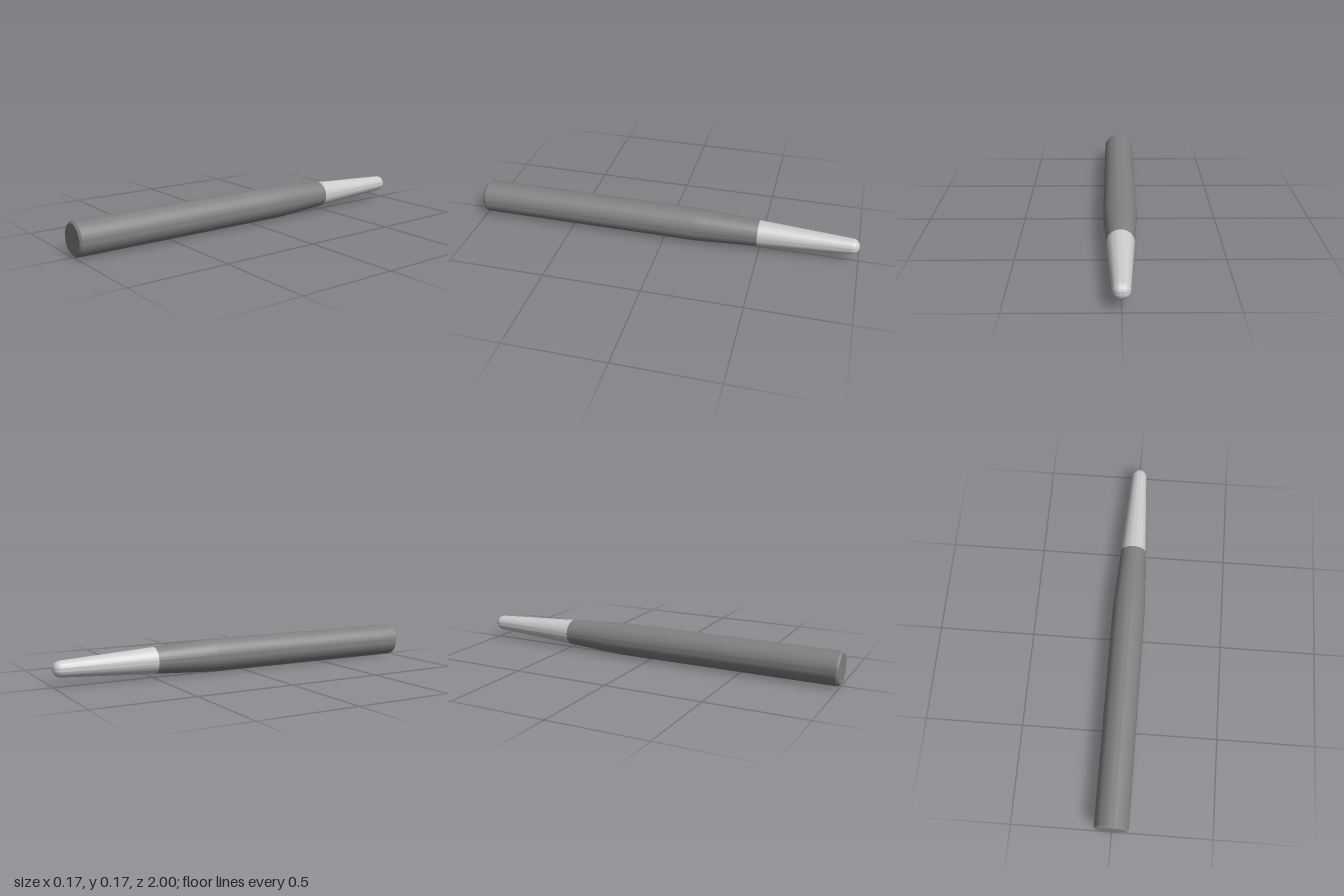
import * as THREE from 'three';
import { toCreasedNormals } from 'three/addons/utils/BufferGeometryUtils.js';

const R = 0.085;          // shaft radius
const TIP_R = 0.04;       // rounded tip radius
const TAPER = 0.17;       // distance behind centre where the taper begins
const SPLIT = 0.49;       // where the body meets the tip
const TIP = 1 - TIP_R;    // centre of the rounded end

// Radius along the tapered section
const taperRadius = d => THREE.MathUtils.mapLinear(d, TAPER, TIP, R, TIP_R);

// Revolve [radius, distance] pairs around the long axis, pointing to -z
function turned(name, profile, color) {
  const points = profile.map(([r, d]) => new THREE.Vector2(r, d));
  const geometry = toCreasedNormals(new THREE.LatheGeometry(points, 64), 0.5);
  geometry.rotateX(-Math.PI / 2);
  const mesh = new THREE.Mesh(geometry, new THREE.MeshStandardMaterial({ color }));
  mesh.name = name;
  mesh.position.y = R;
  return mesh;
}

export function createModel() {
  const group = new THREE.Group();
  group.name = 'taperedRod';

  // Dark shaft with flat, chamfered butt and the first part of the taper
  group.add(turned('body', [
    [0, -1], [R - 0.01, -1], [R, -0.99], [R, TAPER], [taperRadius(SPLIT), SPLIT],
  ], 0x808080));

  // Light tapered tip with a hemispherical end
  const tip = [[taperRadius(SPLIT), SPLIT]];
  const steps = 12;
  for (let i = 0; i <= steps; i++) {
    const a = (i / steps) * Math.PI / 2;
    tip.push([i === steps ? 0 : TIP_R * Math.cos(a), TIP + TIP_R * Math.sin(a)]);
  }
  group.add(turned('tip', tip, 0xcccccc));

  return group;
}
